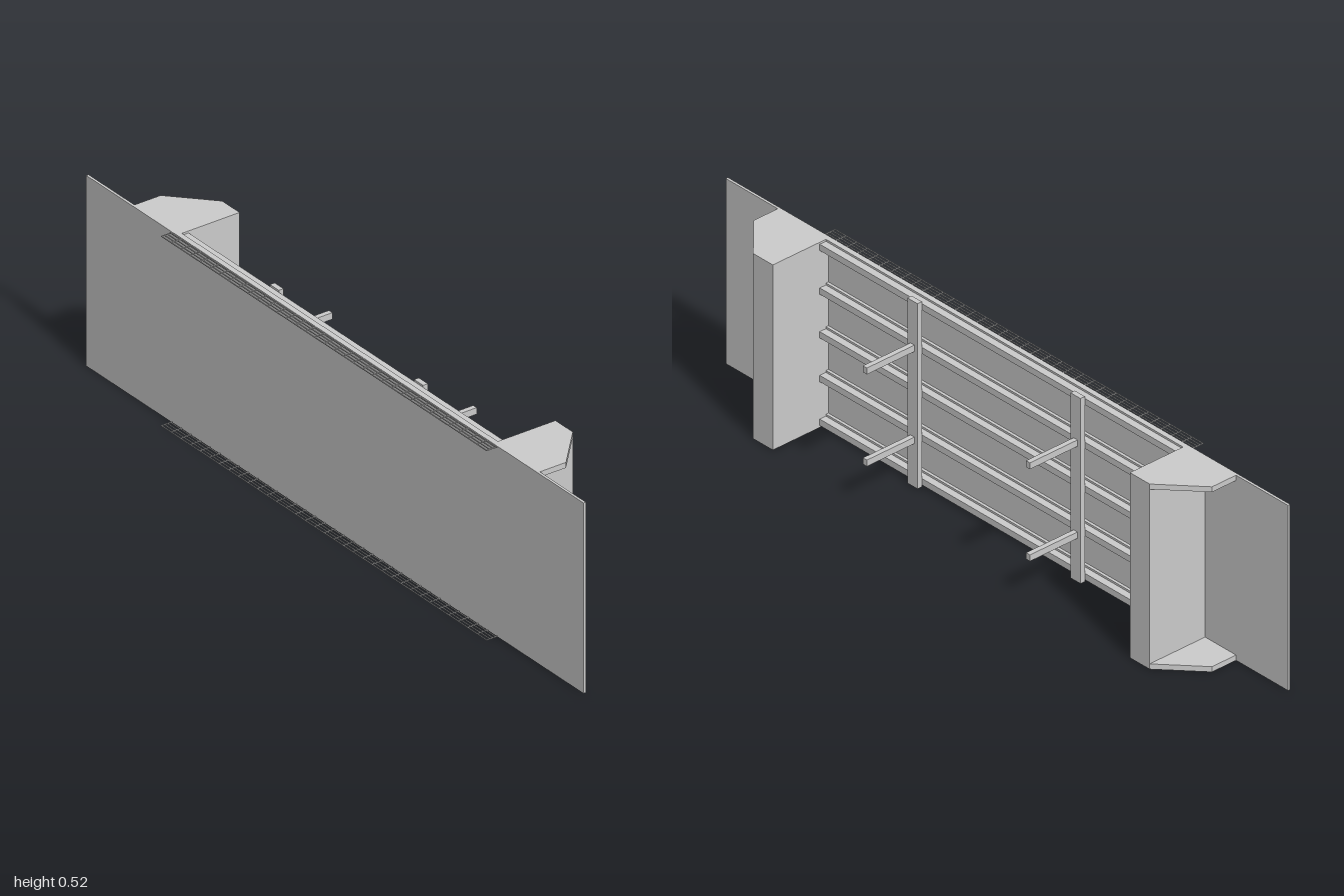
import * as THREE from 'three';

const H = 0.523;
const material = new THREE.MeshStandardMaterial({ color: 0xcccccc, flatShading: true });

// Box given by its minimum and maximum along each axis
function box(parent, name, [x0, x1], [y0, y1], [z0, z1]) {
  const mesh = new THREE.Mesh(new THREE.BoxGeometry(x1 - x0, y1 - y0, z1 - z0), material);
  mesh.position.set((x0 + x1) / 2, (y0 + y1) / 2, (z0 + z1) / 2);
  mesh.name = name;
  parent.add(mesh);
  return mesh;
}

// Chamfered end plate lying flat, outline in x and z
function endPlate(parent, side, y) {
  const outline = [[0.635, 0.078], [0.815, 0.078], [0.815, 0], [0.705, -0.102], [0.635, -0.102]];
  const shape = new THREE.Shape(outline.map(([x, z]) => new THREE.Vector2(x * side, -z)));
  const geometry = new THREE.ExtrudeGeometry(shape, { depth: 0.015, bevelEnabled: false });
  geometry.rotateX(-Math.PI / 2);
  const mesh = new THREE.Mesh(geometry, material);
  mesh.position.y = y;
  mesh.name = 'endPlate';
  parent.add(mesh);
}

// Fine wire ladder projecting from the front of the panel
function wireLadder(parent, y) {
  const ladder = new THREE.Group();
  ladder.name = 'wireLadder';
  const r = 0.001;
  for (const z of [0.09, 0.099, 0.108, 0.117]) {
    box(ladder, 'longWire', [-0.655, 0.655], [y - r, y + r], [z - r, z + r]);
  }
  const count = 34;
  for (let i = 0; i <= count; i++) {
    const x = -0.654 + (1.308 * i) / count;
    box(ladder, 'crossWire', [x - r, x + r], [y - r, y + r], [0.085, 0.118]);
  }
  parent.add(ladder);
}

export function createModel() {
  const model = new THREE.Group();
  model.name = 'panelAssembly';

  box(model, 'frontPanel', [-1, 1], [0, H], [0.078, 0.085]);

  // Horizontal stepped rails behind the panel
  for (let i = 0; i < 5; i++) {
    const y = 0.0145 + (i * (H - 0.029)) / 4;
    const rail = new THREE.Group();
    rail.name = 'rail';
    box(rail, 'railFlange', [-0.693, 0.693], [y - 0.0145, y + 0.0145], [0.07, 0.078]);
    box(rail, 'railRib', [-0.693, 0.693], [y - 0.009, y + 0.009], [0.05, 0.07]);
    model.add(rail);
  }

  for (const side of [-1, 1]) {
    // Vertical posts with two rearward arms each
    const x = 0.29 * side;
    box(model, 'post', [x - 0.018, x + 0.018], [0, H], [0.036, 0.05]);
    for (const y of [0.132, 0.392]) {
      box(model, 'arm', [x - 0.007, x + 0.007], [y - 0.009, y + 0.009], [-0.118, 0.036]);
    }

    // Upright side column between two chamfered plates
    const column = new THREE.Group();
    column.name = 'sideColumn';
    const cx = 0.67 * side;
    box(column, 'columnBody', [cx - 0.035, cx + 0.035], [0.015, H - 0.015], [-0.102, 0.078]);
    endPlate(column, side, 0);
    endPlate(column, side, H - 0.015);
    model.add(column);
  }

  for (const y of [0.002, H - 0.001]) wireLadder(model, y);

  return model;
}
